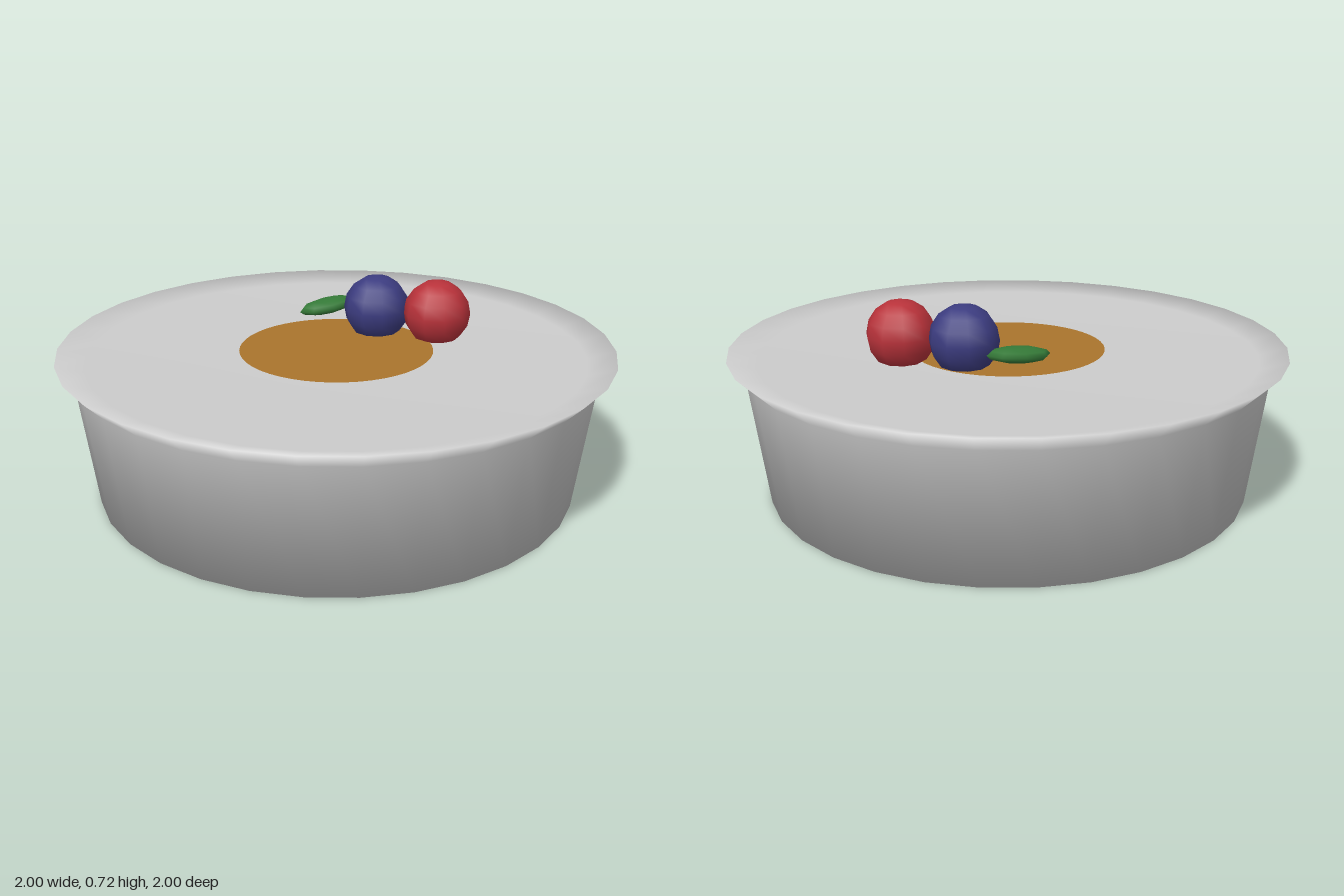
import * as THREE from 'three';

function part(name, geometry, color, parent) {
  const mesh = new THREE.Mesh(geometry, new THREE.MeshStandardMaterial({ color }));
  mesh.name = name;
  parent.add(mesh);
  return mesh;
}

export function createModel() {
  const group = new THREE.Group();
  group.name = 'fruitTart';

  // Round dish: base, sloping wall, flared rim and the shallow filled top
  const profile = [
    [0, 0], [0.88, 0], [0.94, 0.47], [1, 0.53], [0.9, 0.5], [0, 0.5],
  ].map(([r, y]) => new THREE.Vector2(r, y));
  part('dish', new THREE.LatheGeometry(profile, 32), 0xcccccc, group);

  // Flat sauce pool in the middle of the top
  const sauce = part('sauce', new THREE.CircleGeometry(0.353, 48), 0xa9742c, group);
  sauce.rotation.x = -Math.PI / 2;
  sauce.position.y = 0.504;

  // Two berries side by side
  const berryGeometry = new THREE.SphereGeometry(0.125, 10, 8);
  part('blueBerry', berryGeometry, 0x3c3c80, group).position.set(0.235, 0.595, -0.12);
  part('redBerry', berryGeometry, 0xb8323a, group).position.set(0.4, 0.595, 0.045);

  // Leaf: a flattened, stretched low-poly sphere
  const leaf = part('leaf', new THREE.SphereGeometry(1, 8, 6), 0x357a38, group);
  leaf.scale.set(0.122, 0.028, 0.058);
  leaf.rotation.z = 0.1;
  leaf.position.set(0.118, 0.571, -0.298);

  return group;
}
